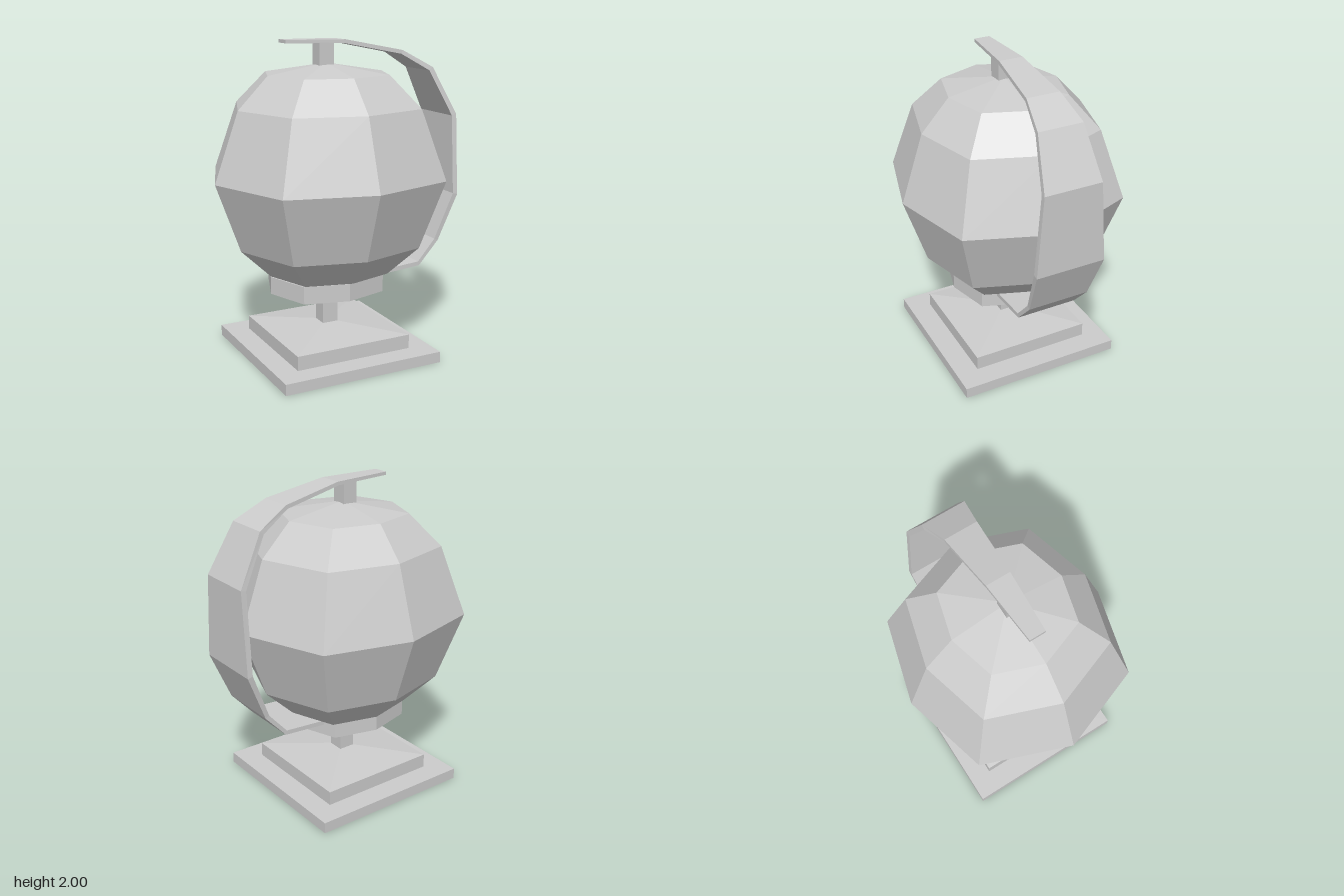
import * as THREE from 'three';

const CX = -0.053; // axis of globe and stand

// Skin a list of equal-length point rings; optionally close both ends.
function loft(name, rings, capped, side = THREE.FrontSide) {
  const n = rings[0].length;
  const index = [];
  for (let i = 0; i < rings.length - 1; i++) {
    for (let j = 0; j < n; j++) {
      const k = (j + 1) % n;
      const a = i * n + j, b = i * n + k, c = a + n, d = b + n;
      index.push(a, c, b, b, c, d);
    }
  }
  if (capped) {
    const e = (rings.length - 1) * n;
    for (let j = 1; j < n - 1; j++) index.push(0, j, j + 1, e, e + j + 1, e + j);
  }
  const geometry = new THREE.BufferGeometry();
  geometry.setAttribute('position', new THREE.Float32BufferAttribute(rings.flat(2), 3));
  geometry.setIndex(index);
  const flat = geometry.toNonIndexed();
  flat.computeVertexNormals();
  const material = new THREE.MeshStandardMaterial({ color: 0xcccccc, flatShading: true, side });
  const mesh = new THREE.Mesh(flat, material);
  mesh.name = name;
  return mesh;
}

// Slightly irregular octagon, unit size = globe equator
const OCTAGON = [[0.735, 0], [0.537, 0.535], [0, 0.678], [-0.537, 0.535],
  [-0.735, 0], [-0.537, -0.535], [0, -0.678], [0.537, -0.535]];
const SQUARE = [[1, -1], [1, 1], [-1, 1], [-1, -1]];

const ring = (shape, scale, y, cx = CX, cz = 0) =>
  shape.map(([x, z]) => [cx + x * scale, y, cz + z * scale]);

export function createModel() {
  const group = new THREE.Group();
  group.name = 'deskGlobe';

  // Faceted ball: [scale, y]
  const ball = [[0, 0.475], [0.528, 0.55], [0.79, 0.735], [1, 1.165],
    [0.79, 1.595], [0.528, 1.79], [0, 1.855]];
  group.add(loft('globe', ball.map(([s, y]) => ring(OCTAGON, s, y)), false));

  // Collar under the ball, a little off axis
  group.add(loft('collar', [0.44, 0.55].map((y) => ring(OCTAGON, 0.507, y, -0.074, 0.012)), true));

  // Hollow stepped base running up into the square post: [half width, y]
  const stand = [[0.53, 0], [0.53, 0.07], [0.387, 0.07], [0.387, 0.16], [0.052, 0.2], [0.052, 0.44]];
  group.add(loft('stand', stand.map(([s, y]) => ring(SQUARE, s, y)), false, THREE.DoubleSide));

  // Short pin joining the ball to the arm
  group.add(loft('topPin', [1.83, 1.985].map((y) => ring(SQUARE, 0.048, y, -0.073)), true));

  // Curved arm: [outer x, outer y, inner x, inner y, half width]
  const arm = [
    [-0.345, 2.0, -0.345, 1.98, 0.05],
    [0.04, 1.995, 0.03, 1.973, 0.076],
    [0.425, 1.92, 0.415, 1.897, 0.105],
    [0.625, 1.81, 0.6, 1.79, 0.142],
    [0.785, 1.508, 0.752, 1.5, 0.182],
    [0.785, 0.99, 0.752, 1.0, 0.22],
    [0.66, 0.69, 0.635, 0.703, 0.195],
    [0.52, 0.538, 0.513, 0.565, 0.195],
    [0.235, 0.517, 0.235, 0.545, 0.195],
  ];
  group.add(loft('meridianArm', arm.map(([ox, oy, ix, iy, w]) =>
    [[ox, oy, w], [ox, oy, -w], [ix, iy, -w], [ix, iy, w]]), true));

  return group;
}
